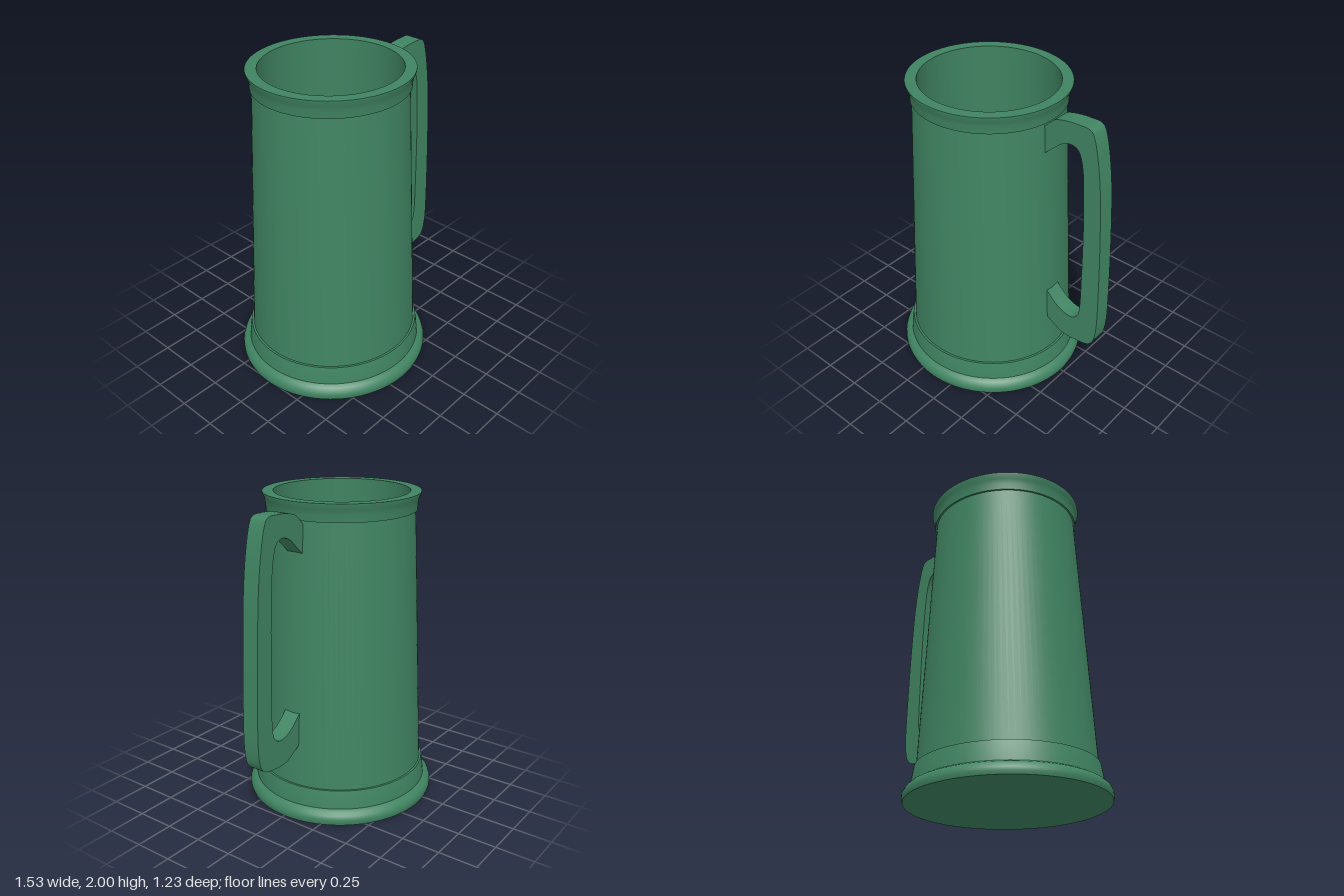
import * as THREE from 'three';
import { toCreasedNormals } from 'three/addons/utils/BufferGeometryUtils.js';

const AXIS_X = -0.143; // centre of the vessel
const DEPTH = 0.982;   // the vessel is slightly narrower front to back
const vec = (pts) => pts.map(([x, y]) => new THREE.Vector2(x, y));

export function createModel() {
  const model = new THREE.Group();
  model.name = 'tankard';
  const green = new THREE.MeshStandardMaterial({ color: 0x408462, side: THREE.DoubleSide });

  const add = (name, geometry, parent) => {
    const mesh = new THREE.Mesh(toCreasedNormals(geometry, 0.45), green);
    mesh.name = name;
    parent.add(mesh);
  };

  // Turned parts share one slightly oval axis
  const vessel = new THREE.Group();
  vessel.name = 'vessel';
  vessel.position.x = AXIS_X;
  vessel.scale.z = DEPTH;
  model.add(vessel);
  const turn = (name, profile) => add(name, new THREE.LatheGeometry(vec(profile), 96), vessel);

  // Rounded foot and the stepped band above it
  turn('foot', [[0, 0], [0.618, 0], [0.624, 0.02], [0.623, 0.04], [0.615, 0.06], [0.6, 0.077], [0.575, 0.09]]);
  turn('baseBand', [[0.575, 0.09], [0.571, 0.13], [0.56, 0.2], [0.558, 0.21], [0.545, 0.21]]);

  // Tapering outer wall
  turn('body', [[0.545, 0.21], [0.463, 1.888]]);

  // Flared rim with a flat lip
  turn('rim', [[0.463, 1.888], [0.474, 1.888], [0.477, 1.93], [0.483, 1.962], [0.496, 1.99], [0.496, 2], [0.427, 2]]);

  // Hollow inside
  turn('interior', [[0.427, 2], [0.508, 0.12], [0, 0.12]]);

  // Flat handle cut from an outline: outer edge down, inner edge back up
  const outer = vec([[0.325, 1.875], [0.36, 1.91], [0.4, 1.938], [0.48, 1.955], [0.56, 1.96], [0.62, 1.957],
    [0.655, 1.92], [0.69, 1.785], [0.72, 1.58], [0.741, 1.3], [0.756, 1], [0.766, 0.66],
    [0.758, 0.53], [0.74, 0.467], [0.7, 0.43], [0.62, 0.415], [0.55, 0.411], [0.48, 0.425], [0.39, 0.478]]);
  const inner = vec([[0.38, 0.69], [0.425, 0.645], [0.48, 0.605], [0.55, 0.584], [0.605, 0.605], [0.631, 0.68],
    [0.632, 0.9], [0.622, 1.3], [0.604, 1.6], [0.585, 1.73], [0.555, 1.8],
    [0.5, 1.82], [0.44, 1.798], [0.38, 1.745], [0.33, 1.7]]);
  const outline = new THREE.Shape();
  outline.moveTo(0.3, 1.855);
  outline.lineTo(outer[0].x, outer[0].y);
  outline.splineThru(outer.slice(1));
  outline.lineTo(0.37, 0.49);
  outline.lineTo(0.36, 0.71);
  outline.lineTo(inner[0].x, inner[0].y);
  outline.splineThru(inner.slice(1));
  outline.lineTo(0.3, 1.675);
  outline.closePath();
  const handle = new THREE.ExtrudeGeometry(outline, { depth: 0.11, bevelEnabled: false, curveSegments: 4 });
  handle.translate(0, 0, -0.055);
  add('handle', handle, model);

  return model;
}
